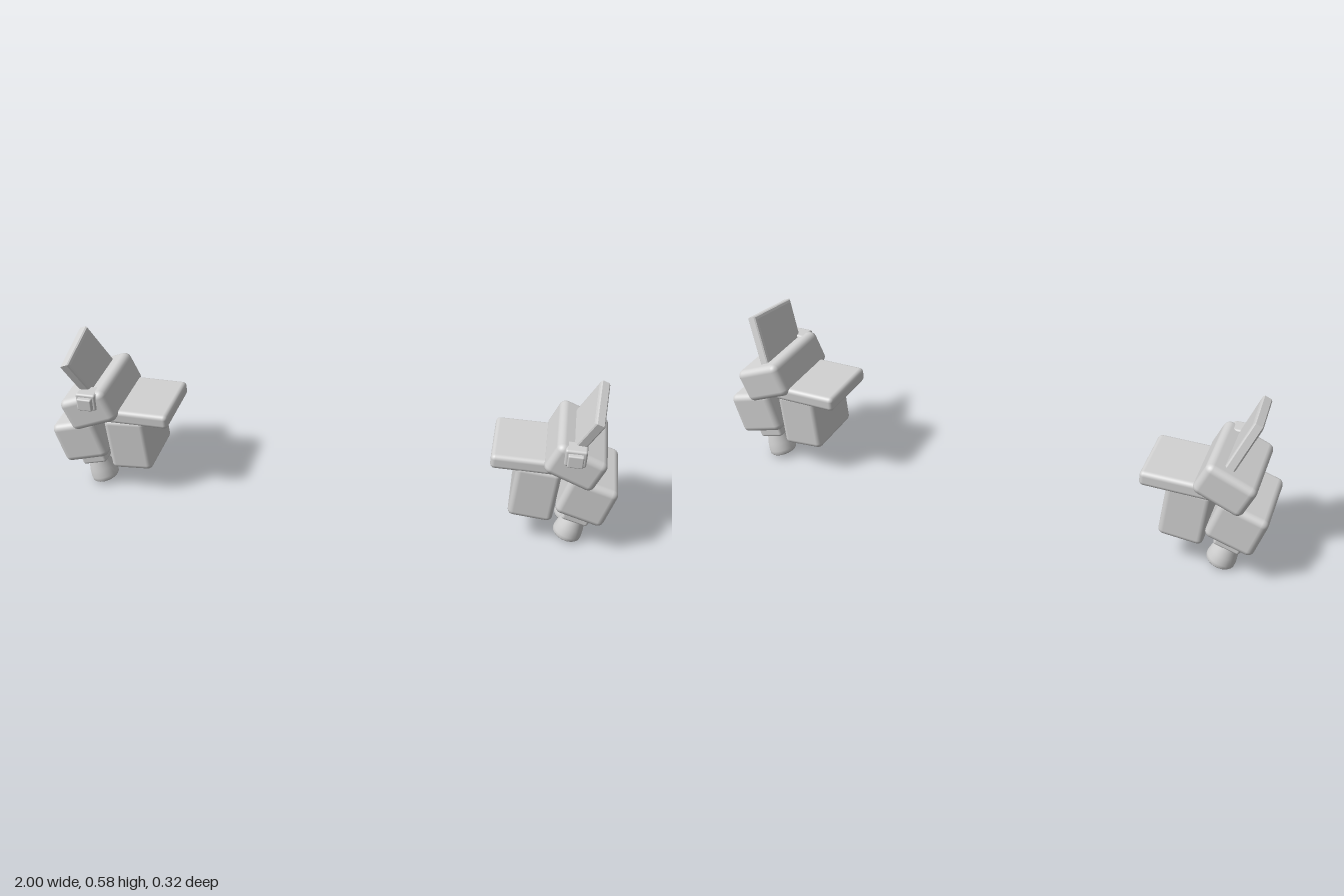
import * as THREE from 'three';
import { RoundedBoxGeometry } from 'three/addons/geometries/RoundedBoxGeometry.js';

const grey = new THREE.MeshStandardMaterial({ color: 0xd2d2d2 });
grey.name = 'lightGrey';

function part(group, name, geometry, position, tilt = 0) {
  const mesh = new THREE.Mesh(geometry, grey);
  mesh.name = name;
  mesh.position.set(...position);
  mesh.rotation.z = THREE.MathUtils.degToRad(tilt);
  group.add(mesh);
}

const block = (w, h, d, r) => new RoundedBoxGeometry(w, h, d, 3, r);

// Leaning fin: a skewed quadrilateral in the z-y plane, with a broad bevel on both faces
function finGeometry() {
  const shape = new THREE.Shape([
    new THREE.Vector2(-0.118, -0.03),
    new THREE.Vector2(0.084, -0.03),
    new THREE.Vector2(0.132, 0.13),
    new THREE.Vector2(-0.065, 0.157),
  ]);
  const fin = new THREE.ExtrudeGeometry(shape, {
    depth: 0.024, bevelEnabled: true, bevelThickness: 0.006, bevelSize: 0.013, bevelSegments: 2,
  });
  fin.translate(0, 0, -0.012);
  fin.rotateY(-Math.PI / 2);
  return fin;
}

// Flared nozzle with a narrow lip and a closed base
function nozzleGeometry() {
  const profile = [[0, 0], [0.046, 0], [0.05, 0.005], [0.0505, 0.018], [0.046, 0.047], [0.037, 0.08], [0.032, 0.104], [0, 0.104]];
  return new THREE.LatheGeometry(profile.map(([r, y]) => new THREE.Vector2(r, y)), 28);
}

// One side of the pair; s is +1 for left and -1 for right
function shoulderUnit(s) {
  const unit = new THREE.Group();
  unit.name = s > 0 ? 'leftShoulder' : 'rightShoulder';
  part(unit, 'upperBlock', block(0.183, 0.126, 0.302, 0.024), [0.847 * s, 0.358, -0.011], -22 * s);
  part(unit, 'lowerBlock', block(0.172, 0.158, 0.277, 0.023), [0.9 * s, 0.213, -0.0125], -16 * s);
  part(unit, 'innerBody', block(0.154, 0.21, 0.234, 0.02), [0.725 * s, 0.208, -0.013], -4 * s);
  part(unit, 'platform', block(0.27, 0.054, 0.25, 0.016), [0.702 * s, 0.325, -0.02]);
  part(unit, 'nozzleMount', block(0.095, 0.104, 0.187, 0.01), [0.884 * s, 0.142, -0.0125], -15 * s);
  part(unit, 'fin', finGeometry(), [0.85 * s, 0.42, 0], -22.5 * s);
  part(unit, 'frontBoss', block(0.072, 0.064, 0.06, 0.008), [0.842 * s, 0.407, 0.117]);
  part(unit, 'bossTail', block(0.062, 0.03, 0.08, 0.005), [0.845 * s, 0.41, 0.08]);
  part(unit, 'frontStud', block(0.052, 0.046, 0.04, 0.005), [0.842 * s, 0.405, 0.143]);
  for (const z of [0.037, -0.062]) {
    part(unit, 'nozzle', nozzleGeometry(), [0.852 * s, 0.012, z], -15 * s);
  }
  return unit;
}

export function createModel() {
  const model = new THREE.Group();
  model.name = 'shoulderPair';
  for (const s of [1, -1]) model.add(shoulderUnit(s));
  return model;
}
